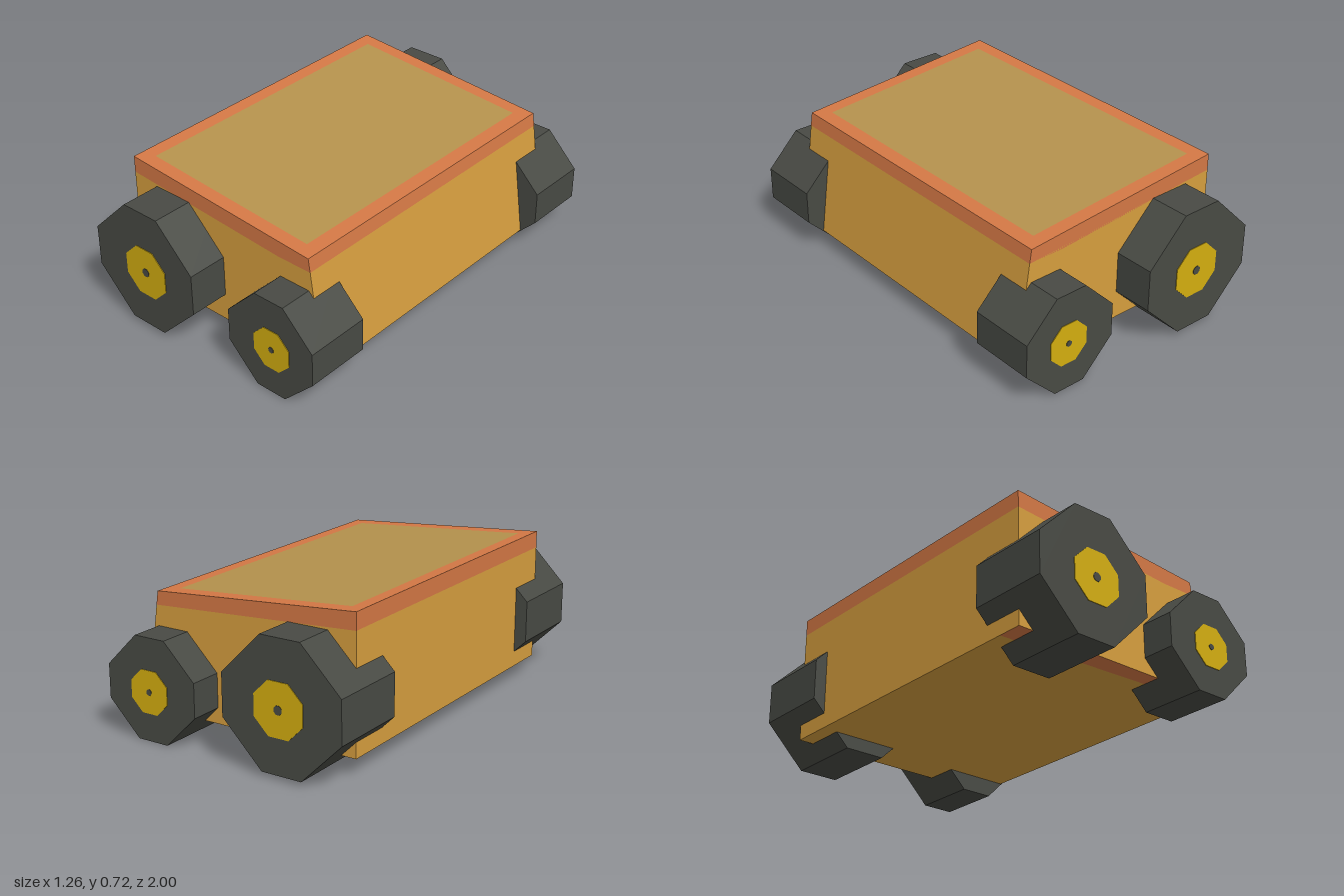
import * as THREE from 'three';

const mat = (name, color) => {
  const m = new THREE.MeshStandardMaterial({ color });
  m.name = name;
  return m;
};

export function createModel() {
  const group = new THREE.Group();
  group.name = 'cart';
  const amber = mat('amber body', 0xd69e3e);
  const orange = mat('orange trim', 0xd47845);
  const tan = mat('tan panel', 0xb5924d);
  const rubber = mat('dark rubber', 0x484a44);
  const yellow = mat('yellow hub', 0xd4ae10);

  // Flat convex faces, corners anticlockwise seen from outside
  const faces = (name, material, polygons) => {
    const pos = [];
    for (const p of polygons)
      for (let i = 1; i < p.length - 1; i++) pos.push(...p[0], ...p[i], ...p[i + 1]);
    const g = new THREE.BufferGeometry();
    g.setAttribute('position', new THREE.Float32BufferAttribute(pos, 3));
    g.computeVertexNormals();
    const m = new THREE.Mesh(g, material);
    m.name = name;
    group.add(m);
  };

  // Wedge-shaped body: main dimensions
  const L = -0.57, R = 0.47, RB = 0.55, Y0 = 0.085, W = 0.8;
  const bandY = 0.575, bandX = 0.48, bandL = 0.64;
  const roof = (x, z) => [x, 0.72 - 0.08 * (x - L) / (R - L), z];
  const onSide = (pts, s) => {
    const p = pts.map(([x, y]) => [x, y, s * W]);
    return s > 0 ? p : p.reverse();
  };

  // Lower body panels and the trim band above them
  const lower = [[L, Y0], [RB, Y0], [bandX, bandY], [0.3, bandY], [L, bandL]];
  const band = [[L, bandL], [0.3, bandY], [bandX, bandY], [R, 0.64], [L, 0.72]];
  const floorZ = [0.68, 0.73];
  faces('bodyPanels', amber, [
    onSide(lower, 1), onSide(lower, -1),
    [[RB, Y0, W], [RB, Y0, -W], [bandX, bandY, -W], [bandX, bandY, W]],
    [[L, Y0, -W], [L, Y0, W], [L, bandL, W], [L, bandL, -W]],
    [[L, Y0, -W], [RB, Y0, -W], [RB, Y0, W], [0.45, Y0, floorZ[1]], [L, Y0, floorZ[0]]],
  ]);
  faces('trimBand', orange, [
    onSide(band, 1), onSide(band, -1),
    [[bandX, bandY, W], [bandX, bandY, -W], [R, 0.64, -W], [R, 0.64, W]],
    [[L, bandL, -W], [L, bandL, W], [L, 0.72, W], [L, 0.72, -W]],
    [[L, Y0, floorZ[0]], [0.45, Y0, floorZ[1]], [RB, Y0, W], [L, Y0, W]],
  ]);

  // Sloping roof: inset panel framed by trim
  const rect = (x0, x1, z0, z1) => [roof(x0, z1), roof(x1, z1), roof(x1, z0), roof(x0, z0)];
  const px0 = -0.505, px1 = 0.4, pz = 0.73;
  faces('roofPanel', tan, [rect(px0, px1, -pz, pz)]);
  faces('roofFrame', orange, [
    rect(L, px0, -W, W), rect(px1, R, -W, W),
    rect(px0, px1, pz, W), rect(px0, px1, -W, -pz),
  ]);

  // Octagonal prism: r is half its width, flat the half length of the level sides
  const octagon = (name, material, r, flat, depth) => {
    const s = new THREE.Shape([
      [flat, -r], [r, -flat], [r, flat], [flat, r],
      [-flat, r], [-r, flat], [-r, -flat], [-flat, -r],
    ].map(([x, y]) => new THREE.Vector2(x, y)));
    const m = new THREE.Mesh(new THREE.ExtrudeGeometry(s, { depth, bevelEnabled: false }), material);
    m.name = name;
    return m;
  };

  // Wheels: tyre, painted hub and axle dot, mirrored on both sides
  const wheel = (name, x, y, r, flat, z0, z1, hub, dot, shift) => {
    for (const side of [1, -1]) {
      const w = new THREE.Group();
      w.name = name + (side > 0 ? 'Front' : 'Back');
      const tyre = octagon('tyre', rubber, r, flat, z1 - z0);
      const cap = octagon('hub', yellow, hub, hub * 0.41, 0.003);
      const axle = octagon('axle', rubber, dot, dot * 0.41, 0.003);
      tyre.position.z = side > 0 ? z0 : -z1;
      cap.position.set(shift, -shift, side > 0 ? z1 : -z1 - 0.003);
      axle.position.set(shift, -shift, side > 0 ? z1 + 0.002 : -z1 - 0.005);
      w.add(tyre, cap, axle);
      w.position.set(x, y, 0);
      group.add(w);
    }
  };
  wheel('largeWheel', -0.33, 0.32, 0.3, 0.1, 0.6, 0.996, 0.123, 0.02, 0.01);
  wheel('smallWheel', 0.39, 0.24, 0.24, 0.08, 0.64, 0.96, 0.1, 0.014, 0.01);

  return group;
}
